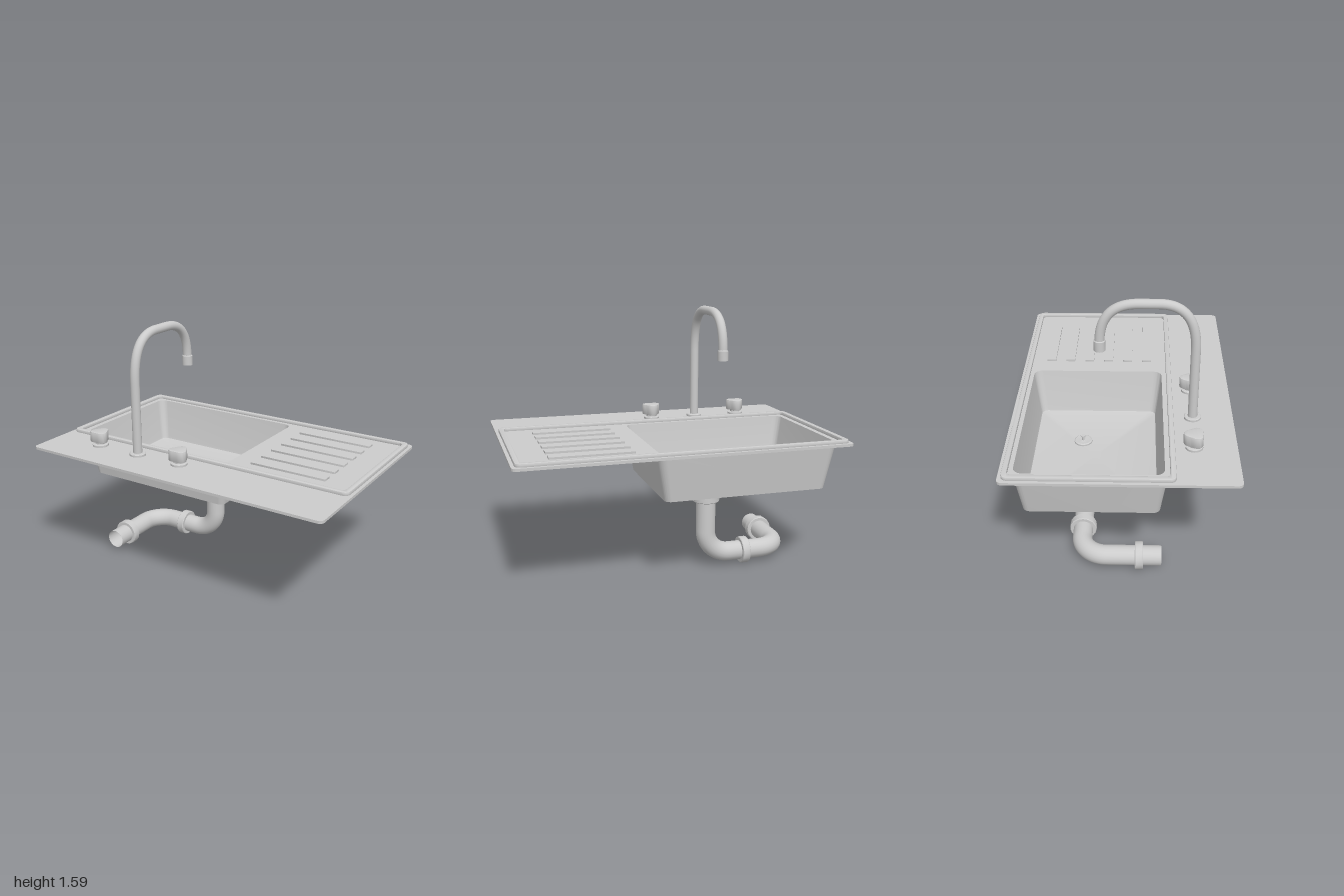
import * as THREE from 'three';
import { toCreasedNormals } from 'three/addons/utils/BufferGeometryUtils.js';

const DECK_BOTTOM = 0.822, DECK_TOP = 0.838;
const v = (x, y, z) => new THREE.Vector3(x, y, z);

export function createModel() {
  const root = new THREE.Group();
  const grey = new THREE.MeshStandardMaterial({ color: 0xcccccc, side: THREE.DoubleSide });

  function add(name, geometry, x = 0, y = 0, z = 0, parent = root) {
    const mesh = new THREE.Mesh(geometry, grey);
    mesh.name = name;
    mesh.position.set(x, y, z);
    parent.add(mesh);
    return mesh;
  }

  // Rounded rectangle given as x and z limits
  function roundedRect(x0, x1, z0, z1, r, Type = THREE.Shape) {
    const s = new Type();
    s.absarc(x1 - r, z1 - r, r, 0, Math.PI / 2);
    s.absarc(x0 + r, z1 - r, r, Math.PI / 2, Math.PI);
    s.absarc(x0 + r, z0 + r, r, Math.PI, Math.PI * 1.5);
    s.absarc(x1 - r, z0 + r, r, Math.PI * 1.5, Math.PI * 2);
    s.closePath();
    return s;
  }

  // Horizontal slab: shape drawn in x/z, filling y0 to y1
  function slab(shape, y0, y1, bevel = 0) {
    const g = new THREE.ExtrudeGeometry(shape, {
      depth: y1 - y0 - 2 * bevel, bevelEnabled: bevel > 0, bevelSize: bevel,
      bevelThickness: bevel, bevelOffset: -bevel, bevelSegments: 2, curveSegments: 6,
    });
    g.rotateX(Math.PI / 2).translate(0, y1 - bevel, 0);
    return toCreasedNormals(g, 0.6);
  }

  // Skin through rounded rectangles [y, x0, x1, z0, z1, r], closed at the last one
  function loft(sections) {
    const rows = sections.map(([y, ...rect]) =>
      roundedRect(...rect).getPoints(6).map((p) => [p.x, y, p.y]));
    const [y, x0, x1, z0, z1] = sections.at(-1);
    const n = rows[0].length;
    rows.push(Array(n).fill([(x0 + x1) / 2, y, (z0 + z1) / 2]));
    const index = [];
    for (let i = 0; i < rows.length - 1; i++) {
      for (let j = 0; j < n; j++) {
        const k = (j + 1) % n, a = i * n, b = a + n;
        index.push(a + j, a + k, b + j);
        if (i < rows.length - 2) index.push(a + k, b + k, b + j);
      }
    }
    const g = new THREE.BufferGeometry();
    g.setAttribute('position', new THREE.Float32BufferAttribute(rows.flat(2), 3));
    g.setIndex(index);
    return toCreasedNormals(g, 0.6);
  }

  const lathe = (points, sides = 24) => toCreasedNormals(
    new THREE.LatheGeometry(points.map((p) => new THREE.Vector2(...p)), sides), 0.6);

  // Deck with openings for the basin and the drainer ridges
  const deck = roundedRect(-1, 1, -0.65, 0.65, 0.03);
  deck.holes.push(roundedRect(-0.915, 0.17, -0.575, 0.24, 0.05, THREE.Path));
  const ridgeZ = Array.from({ length: 6 }, (_, i) => -0.48 + i * 0.125);
  for (const z of ridgeZ) {
    deck.holes.push(roundedRect(0.295, 0.785, z - 0.029, z + 0.029, 0.004, THREE.Path));
  }
  add('deck', slab(deck, DECK_BOTTOM, DECK_TOP));

  // Pressed drainer ridges, hollow underneath
  for (const z of ridgeZ) {
    add('drainerRidge', slab(roundedRect(0.295, 0.785, z - 0.029, z + 0.029, 0.004),
      DECK_TOP - 0.004, DECK_TOP + 0.012));
  }

  // Raised rim around basin and drainer
  const rim = roundedRect(-0.98, 0.98, -0.63, 0.3, 0.035);
  rim.holes.push(roundedRect(-0.947, 0.947, -0.6, 0.268, 0.025, THREE.Path));
  add('rim', slab(rim, DECK_TOP - 0.008, 0.858, 0.006));

  // Basin: outer hull and inner bowl
  add('basinOuter', loft([
    [DECK_BOTTOM, -0.93, 0.182, -0.583, 0.26, 0.055],
    [0.545, -0.876, 0.13, -0.543, 0.222, 0.04],
  ]));
  add('basinInner', loft([
    [DECK_TOP, -0.915, 0.17, -0.575, 0.24, 0.05],
    [0.578, -0.87, 0.125, -0.538, 0.208, 0.04],
    [0.564, -0.866, 0.121, -0.534, 0.204, 0.038],
    [0.56, -0.855, 0.11, -0.523, 0.193, 0.034],
  ]));

  // Drain strainer with its lifting pin
  add('drainStrainer', lathe([[0.055, 0], [0.055, 0.01], [0.048, 0.014], [0.012, 0.01],
    [0.008, 0.012], [0.008, 0.035], [0.012, 0.037], [0.012, 0.043], [0, 0.045]]),
    -0.22, 0.56, -0.245);

  // Faucet: flange, swan neck and nozzle
  const faucet = new THREE.Group();
  faucet.name = 'faucet';
  faucet.position.x = -0.36;
  root.add(faucet);
  const neck = new THREE.CurvePath();
  neck.add(new THREE.LineCurve3(v(0, DECK_TOP, 0.412), v(0, 1.29, 0.412)));
  neck.add(new THREE.QuadraticBezierCurve3(v(0, 1.29, 0.412), v(0, 1.571, 0.412), v(0, 1.571, 0.2)));
  neck.add(new THREE.LineCurve3(v(0, 1.571, 0.2), v(0, 1.571, 0.09)));
  neck.add(new THREE.QuadraticBezierCurve3(v(0, 1.571, 0.09), v(0, 1.571, -0.127), v(0, 1.33, -0.127)));
  add('neck', new THREE.TubeGeometry(neck, 64, 0.028, 16), 0, 0, 0, faucet);
  add('faucetFlange', lathe([[0.05, 0], [0.05, 0.012], [0.045, 0.016], [0, 0.016]]),
    0, DECK_TOP, 0.412, faucet);
  add('nozzle', lathe([[0.024, 0.06], [0.024, 0], [0.033, 0], [0.033, 0.06], [0.026, 0.066]], 20),
    0, 1.285, -0.127, faucet);

  // Three-lobed tap knobs on short stems
  for (const x of [-0.66, -0.055]) {
    const knob = new THREE.Group();
    knob.name = 'tapKnob';
    knob.position.set(x, DECK_TOP, 0.407);
    root.add(knob);
    add('knobStem', lathe([[0.05, 0], [0.05, 0.012], [0.033, 0.016], [0.033, 0.04]]), 0, 0, 0, knob);
    const outline = Array.from({ length: 36 }, (_, i) => {
      const a = (i / 36) * Math.PI * 2, r = 0.0545 + 0.0075 * Math.cos(3 * a);
      return new THREE.Vector2(r * Math.sin(a), -r * Math.cos(a));
    });
    add('knobGrip', slab(new THREE.Shape(outline), 0.028, 0.097, 0.007), 0, 0, 0, knob);
  }

  // Waste pipe: down from the basin, left, then forward to an open end
  const px = -0.22, pz = -0.24, py = 0.088, ex = -0.725, b = 0.15;
  const pipe = new THREE.CurvePath();
  const bend = (p, c, q) => {
    const k = 0.5523;
    pipe.add(new THREE.CubicBezierCurve3(p, p.clone().lerp(c, k), q.clone().lerp(c, k), q));
  };
  pipe.add(new THREE.LineCurve3(v(px, 0.55, pz), v(px, py + b, pz)));
  bend(v(px, py + b, pz), v(px, py, pz), v(px - b, py, pz));
  pipe.add(new THREE.LineCurve3(v(px - b, py, pz), v(ex + b, py, pz)));
  bend(v(ex + b, py, pz), v(ex, py, pz), v(ex, py, pz + b));
  pipe.add(new THREE.LineCurve3(v(ex, py, pz + b), v(ex, py, 0.24)));
  add('wastePipe', new THREE.TubeGeometry(pipe, 90, 0.06, 20));

  // Pipe couplings
  const coupling = (x, y, z, h) => add('pipeCoupling', lathe([[0.058, -h], [0.079, -h],
    [0.083, 0.004 - h], [0.083, h - 0.004], [0.079, h], [0.058, h]], 16), x, y, z);
  coupling(px, 0.455, pz, 0.02);
  coupling(-0.473, py, pz, 0.025).rotation.z = Math.PI / 2;
  coupling(ex, py, 0.107, 0.025).rotation.x = Math.PI / 2;

  return root;
}
